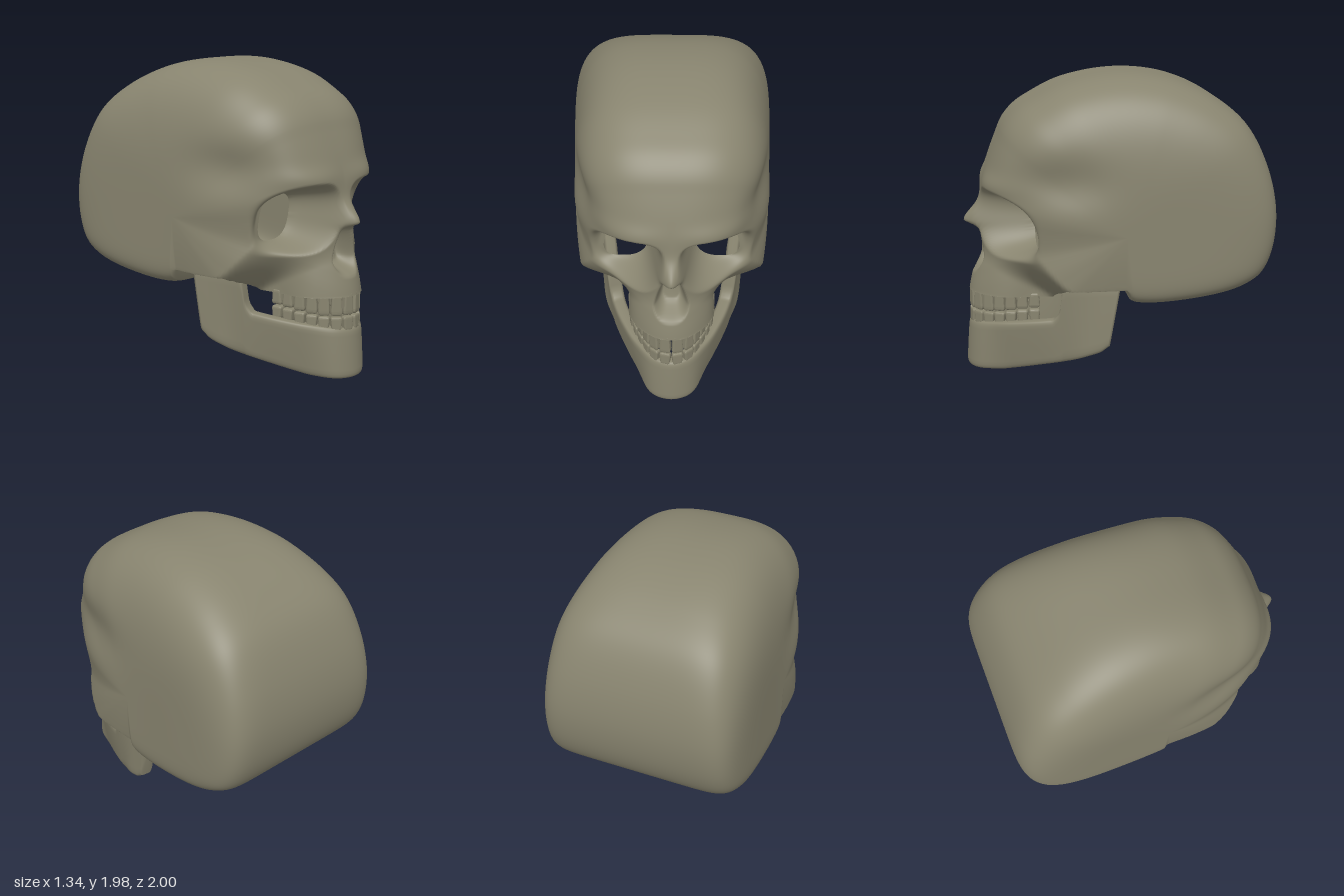
import * as THREE from 'three';
import { RoundedBoxGeometry } from 'three/addons/geometries/RoundedBoxGeometry.js';

const bone = new THREE.MeshStandardMaterial({ color: 0x88846f, side: THREE.DoubleSide });
const { smoothstep, lerp, clamp, degToRad } = THREE.MathUtils;
const gauss = (d, s) => Math.exp(-((d / s) ** 2));

// Piecewise linear lookup in [key, value] pairs with rising keys
function table(pairs, k) {
  if (k <= pairs[0][0]) return pairs[0][1];
  for (let i = 1; i < pairs.length; i++) {
    const [a, va] = pairs[i - 1], [b, vb] = pairs[i];
    if (k <= b) return lerp(va, vb, (k - a) / (b - a || 1));
  }
  return pairs[pairs.length - 1][1];
}

// The same lookup averaged over a window, so that no creases show
function smoothTable(pairs, k, reach) {
  let sum = 0;
  for (let i = -6; i <= 6; i++) sum += table(pairs, k + (reach * i) / 6);
  return sum / 13;
}

function makeMesh(name, positions, index) {
  const g = new THREE.BufferGeometry();
  g.setAttribute('position', new THREE.Float32BufferAttribute(positions, 3));
  g.setIndex(index);
  g.computeVertexNormals();
  const m = new THREE.Mesh(g, bone);
  m.name = name;
  return m;
}

// Side profile of the head as [z, y], from below the face over the crown to the underside
const PROFILE = [
  [0, -0.2], [0.6, -0.2], [0.95, 0], [0.985, 0.3], [0.97, 0.53], [0.94, 0.67], [0.91, 0.77], [0.9, 0.83],
  [0.9, 0.95], [0.895, 1.05], [0.89, 1.13], [0.88, 1.23], [0.84, 1.39], [0.78, 1.55], [0.73, 1.66],
  [0.65, 1.75], [0.54, 1.82], [0.355, 1.91], [0.09, 1.97], [-0.15, 1.975], [-0.39, 1.93], [-0.63, 1.82],
  [-0.82, 1.66], [-0.95, 1.39], [-1, 1.1], [-0.97, 0.85], [-0.9, 0.71], [-0.79, 0.635], [-0.61, 0.58],
  [-0.23, 0.535], [-0.06, 0.545], [-0.03, 0.56],
];
const CY = 1; // height of the centre the profile is measured from
// Squareness of the cross-section by angle: soft face, square back and base
const SQUARENESS = [
  [-90, 2.1], [-35, 2.1], [-10, 1.85], [8, 2.2], [22, 2.65], [40, 3], [58, 3.4],
  [90, 3.2], [125, 3.9], [155, 6.5], [185, 9.5], [266, 10],
];
const ROWS = [[0, -90], [0.06, -48], [0.53, 40], [1, 266]]; // finer rows over the face

function polarProfile() {
  const curve = new THREE.CatmullRomCurve3(PROFILE.map(([z, y]) => new THREE.Vector3(z, y, 0)));
  return curve.getPoints(500).map((p) => {
    let a = THREE.MathUtils.radToDeg(Math.atan2(p.y - CY, p.x));
    if (a < -90.01) a += 360;
    return [a, Math.hypot(p.x, p.y - CY)];
  });
}

// Shapes the face on a point of the plain head; returns true where the shell is open
function sculpt(p, inFront) {
  const side = Math.sign(p.x) || 1;
  let x = Math.abs(p.x), { y, z } = p;
  let open = false;
  x *= 1.02 - 0.04 * smoothstep(z, -0.75, 0.1);
  // temple hollow
  x -= 0.06 * gauss(z - 0.42, 0.27) * gauss(y - 1.33, 0.16) * smoothstep(x, 0.3, 0.5);
  if (z > 0.2) {
    // upper jaw, drawn in below the cheekbone
    const line = 0.63 + (z - 0.4) * 0.5;
    const blend = lerp(0.04, 0.18, smoothstep(z, 0.35, 0.65));
    const narrow = lerp(0.5, 0.65, smoothstep(z, 0.5, 0.85));
    x *= lerp(narrow, 1, smoothstep(y, line - 0.13, line + blend));
    // brow and nasal bone
    z += 0.025 * gauss(y - 1.28, 0.07) * gauss(x - 0.28, 0.2);
    z += 0.1 * gauss(x, 0.065) * gauss(y - 1, y > 1 ? 0.1 : 0.04);
    // nose recess
    const w = 0.115 - 0.06 * clamp((y - 0.75) / 0.22, 0, 1);
    const nose = Math.cbrt((x / w) ** 3 + Math.abs((y - 0.82) / 0.17) ** 3);
    z -= 0.13 * (1 - smoothstep(nose, 0.5, 1.05));
    // eye socket with an open back, spreading further outwards than inwards
    const dx = x - 0.285 + 0.23 * (y - 1.02), dy = y - 1.02;
    const reach = (h) => (Math.abs(dx / h) ** 2.7 + Math.abs(dy / 0.143) ** 2.7) ** (1 / 2.7);
    const d = reach(0.142);
    const bowl = 1 - smoothstep(reach(dx > 0 ? 0.175 : 0.14), 0.95, 1.65);
    z = lerp(z, Math.min(z, 0.54), d < 1 ? 1 : bowl);
    if (d < 1) {
      open = true;
      const k = 1 / Math.max(d, 0.01);
      y = 1.02 + dy * k;
      x = 0.285 - 0.23 * dy * k + dx * k;
    }
  }
  // lower rim of cheek and upper jaw
  if (inFront) {
    const cut = lerp(0.65, 0.53, smoothstep(z, 0.38, 0.44));
    if (y < cut) {
      y = cut;
      open = true;
    }
  }
  p.set(side * x, y, z);
  return open;
}

function createHead() {
  const N = 310, M = 160, radii = polarProfile();
  const pos = [], index = [], open = [], p = new THREE.Vector3();
  for (let i = 0; i <= N; i++) {
    const deg = table(ROWS, i / N), t = degToRad(deg);
    const R = table(radii, deg), n = smoothTable(SQUARENESS, deg, 14);
    for (let j = 0; j <= M; j++) {
      const s = (2 * j) / M - 1, f = (0.7 * s + 0.3 * s ** 3) * Math.PI / 2;
      const c = Math.max(Math.cos(f), 0);
      const r = ((c / R) ** n + (Math.abs(Math.sin(f)) / 0.66) ** n) ** (-1 / n);
      p.set(r * Math.sin(f), CY + r * c * Math.sin(t), r * c * Math.cos(t));
      open.push(sculpt(p, deg < 0));
      pos.push(p.x, p.y, p.z);
    }
  }
  for (let i = 0; i <= N; i++) {
    for (let j = 0; j < M; j++) {
      const a = i * (M + 1) + j, d = ((i + 1) % (N + 1)) * (M + 1) + j;
      if (open[a] && open[a + 1] && open[d] && open[d + 1]) continue;
      index.push(a, a + 1, d + 1, a, d + 1, d);
    }
  }
  return makeMesh('cranium', pos, index);
}

// Mandible: rounded sections swept along a U from one hinge to the other
const JAW_TOP = [[0.01, 0.645], [0.355, 0.645], [0.375, 0.6], [0.39, 0.46], [0.43, 0.4], [0.94, 0.325]];
const JAW_BOTTOM = [[0.01, 0.24], [0.04, 0.19], [0.1, 0.17], [0.52, 0.07], [0.76, 0.01], [0.94, 0]];

function createJaw() {
  const half = [[0.435, 0.01], [0.405, 0.2], [0.35, 0.4], [0.275, 0.6], [0.185, 0.78], [0.1, 0.895]];
  const plan = [...half, [0, 0.93], ...half.map(([x, z]) => [-x, z]).reverse()];
  const curve = new THREE.CatmullRomCurve3(plan.map(([x, z]) => new THREE.Vector3(x, 0, z)));
  const S = 160, K = 24, pos = [], index = [];
  const pow = (v, e) => Math.sign(v) * Math.abs(v) ** e;
  for (let i = -1; i <= S + 1; i++) {
    const u = clamp(i / S, 0, 1), c = curve.getPointAt(u), t = curve.getTangentAt(u);
    const top = table(JAW_TOP, c.z), bottom = smoothTable(JAW_BOTTOM, c.z, 0.03), mid = (top + bottom) / 2;
    const size = i < 0 || i > S ? 0 : 1; // closed ends
    const flare = 0.15 * smoothstep(c.z, 0.1, 0.6) * (1 - smoothstep(c.z, 0.7, 0.92));
    for (let k = 0; k < K; k++) {
      const a = (k / K) * Math.PI * 2;
      const y = mid + ((top - bottom) / 2) * size * pow(Math.sin(a), 0.3);
      const o = 0.047 * size * pow(Math.cos(a), 0.4) + (y - 0.22) * flare;
      const rear = (0.645 - y) * 0.18 * (1 - smoothstep(c.z, 0.05, 0.36));
      const chin = (0.32 - y) * 0.07 * smoothstep(c.z, 0.7, 0.92);
      pos.push(c.x + t.z * o, y, c.z - t.x * o + rear + chin);
    }
  }
  for (let i = 0; i < S + 2; i++) {
    for (let k = 0; k < K; k++) {
      const a = i * K + k, b = i * K + ((k + 1) % K);
      index.push(a, b, b + K, a, b + K, a + K);
    }
  }
  return makeMesh('lowerJaw', pos, index);
}

// One tooth, narrower at its root; dir is +1 for upper roots, -1 for lower
function toothGeometry(dir) {
  const g = new RoundedBoxGeometry(1, 1, 1, 2, 0.2), p = g.attributes.position;
  for (let i = 0; i < p.count; i++) p.setX(i, p.getX(i) * (0.88 - 0.24 * dir * p.getY(i)));
  g.computeVertexNormals();
  return g;
}

function createTeeth(name, dir) {
  const row = new THREE.Group();
  row.name = name;
  const geometry = toothGeometry(dir);
  const half = [[0.25, 0.52], [0.235, 0.65], [0.18, 0.8], [0.1, 0.915]];
  const plan = [...half, [0, 0.95], ...half.map(([x, z]) => [-x, z]).reverse()];
  const curve = new THREE.CatmullRomCurve3(plan.map(([x, z]) => new THREE.Vector3(x, 0, z)));
  const count = 14, width = curve.getLength() / count;
  for (let i = 0; i < count; i++) {
    const u = (i + 0.5) / count, c = curve.getPointAt(u), t = curve.getTangentAt(u);
    const back = smoothstep(Math.abs(u - 0.5), 0.15, 0.5);
    const bite = lerp(0.405, 0.45, back);
    const root = dir > 0 ? 0.555 : table(JAW_TOP, Math.max(c.z, 0.44)) - 0.02;
    const tip = bite + dir * 0.005;
    const tooth = new THREE.Mesh(geometry, bone);
    tooth.name = 'tooth';
    tooth.scale.set(width * 0.99, Math.abs(root - tip), lerp(0.04, 0.075, back));
    tooth.position.set(c.x, (root + tip) / 2, c.z);
    tooth.rotation.y = Math.atan2(t.z, -t.x);
    row.add(tooth);
  }
  return row;
}

export function createModel() {
  const model = new THREE.Group();
  model.name = 'skull';
  model.add(createHead(), createJaw(), createTeeth('upperTeeth', 1), createTeeth('lowerTeeth', -1));
  return model;
}
